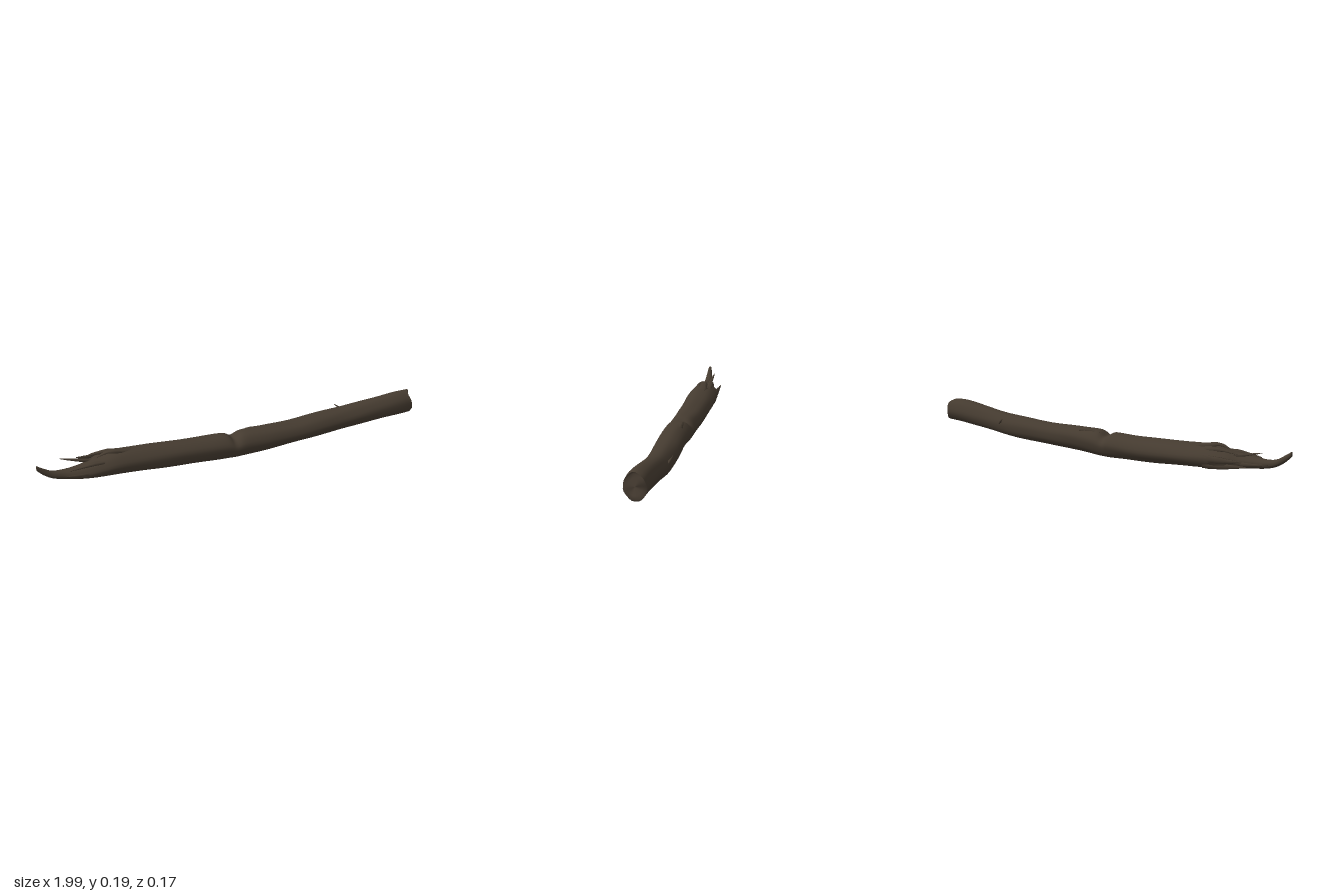
import * as THREE from 'three';

const bark = new THREE.MeshStandardMaterial({ color: 0x453b30 });
bark.name = 'bark';
const wood = new THREE.MeshStandardMaterial({ color: 0x43392f });
wood.name = 'broken wood';

// Skin a list of closed rings; both ends are closed with a fan.
function loft(rings, capFirst = true, capLast = true) {
  const n = rings[0].length, pos = [], idx = [];
  rings.forEach(r => r.forEach(p => pos.push(p.x, p.y, p.z)));
  for (let i = 0; i < rings.length - 1; i++) {
    for (let j = 0; j < n; j++) {
      const a = i * n + j, b = i * n + (j + 1) % n;
      idx.push(a, a + n, b, b, a + n, b + n);
    }
  }
  const cap = (ring, flip) => {
    const base = pos.length / 3, c = new THREE.Vector3();
    ring.forEach(p => { pos.push(p.x, p.y, p.z); c.add(p); });
    c.divideScalar(n);
    pos.push(c.x, c.y, c.z);
    for (let j = 0; j < n; j++) {
      const a = base + j, b = base + (j + 1) % n;
      flip ? idx.push(base + n, a, b) : idx.push(base + n, b, a);
    }
  };
  if (capFirst) cap(rings[0], true);
  if (capLast) cap(rings[rings.length - 1], false);
  const g = new THREE.BufferGeometry();
  g.setAttribute('position', new THREE.Float32BufferAttribute(pos, 3));
  g.setIndex(idx);
  g.computeVertexNormals();
  return g;
}

// Log stations: x, bottom, top, back, front
const stations = [
  [-1.0, 0.165, 0.19, 0.0, 0.018], [-0.97, 0.134, 0.168, -0.006, 0.022],
  [-0.93, 0.108, 0.143, -0.015, 0.026], [-0.88, 0.093, 0.135, -0.022, 0.03],
  [-0.82, 0.083, 0.138, -0.032, 0.05], [-0.76, 0.075, 0.143, -0.05, 0.06],
  [-0.7, 0.066, 0.153, -0.078, 0.062], [-0.62, 0.057, 0.163, -0.086, 0.064],
  [-0.5, 0.045, 0.157, -0.085, 0.066], [-0.35, 0.03, 0.146, -0.078, 0.067],
  [-0.2, 0.018, 0.138, -0.07, 0.068], [-0.07, 0.009, 0.134, -0.06, 0.073],
  [-0.025, 0.007, 0.122, -0.055, 0.075], [0.03, 0.007, 0.136, -0.053, 0.077],
  [0.15, 0.013, 0.133, -0.051, 0.08], [0.3, 0.017, 0.127, -0.055, 0.075],
  [0.45, 0.019, 0.132, -0.059, 0.067], [0.6, 0.025, 0.137, -0.055, 0.062],
  [0.75, 0.036, 0.15, -0.044, 0.068], [0.88, 0.042, 0.164, -0.038, 0.074],
  [0.97, 0.046, 0.163, -0.036, 0.072],
];
const curve = (a, b) => new THREE.CatmullRomCurve3(
  stations.map(s => new THREE.Vector3(s[0], s[a], s[b])), false, 'catmullrom');
const heightCurve = curve(1, 2), depthCurve = curve(3, 4);

const SIDES = 28;
function logRing(t) {
  const h = heightCurve.getPoint(t), d = depthCurve.getPoint(t), x = h.x;
  const end = THREE.MathUtils.smoothstep(x, 0.9, 0.97);
  const ring = [];
  for (let j = 0; j < SIDES; j++) {
    const a = j / SIDES * Math.PI * 2, s = Math.sin(a), c = Math.cos(a);
    // long grain ridges, plus a dent across the top near the middle
    let k = 1 + 0.022 * Math.sin(3 * a + 4 * x) + 0.016 * Math.sin(7 * a + 2 * Math.sin(5 * x))
      + 0.012 * Math.sin(23 * x + 2 * a);
    k -= 0.2 * Math.exp(-(((x + 0.025) / 0.022) ** 2)) * Math.max(0, s) ** 3;
    // uneven cut: low and back parts stick out further
    const cut = end * (-0.016 * c - 0.008 * s + 0.007 * Math.sin(3 * a + 1));
    ring.push(new THREE.Vector3(x + cut,
      (h.y + h.z) / 2 + (h.z - h.y) / 2 * s * k,
      (d.y + d.z) / 2 + (d.z - d.y) / 2 * c * k));
  }
  return ring;
}

// Tapered flat sliver following a few points
function splinter(points, width, thick) {
  const path = new THREE.CatmullRomCurve3(points.map(p => new THREE.Vector3(...p)));
  const up = new THREE.Vector3(0, 1, 0), rings = [];
  for (let i = 0; i <= 8; i++) {
    const t = i / 8, p = path.getPoint(t), dir = path.getTangent(t);
    const side = new THREE.Vector3().crossVectors(dir, up).normalize();
    const across = new THREE.Vector3().crossVectors(side, dir);
    const taper = (1 - 0.88 * t ** 1.4) * (1 + 0.1 * Math.sin(i * 2.3));
    rings.push(Array.from({ length: 6 }, (_, j) => {
      const a = j / 6 * Math.PI * 2;
      return p.clone().addScaledVector(side, Math.cos(a) * width * taper)
        .addScaledVector(across, Math.sin(a) * thick * taper);
    }));
  }
  return loft(rings);
}

export function createModel() {
  const group = new THREE.Group();
  group.name = 'brokenBranch';
  const add = (name, geometry, material, parent = group) => {
    const m = new THREE.Mesh(geometry, material);
    m.name = name;
    parent.add(m);
  };

  // Main log, running out to one long splinter on the left
  const rings = Array.from({ length: 121 }, (_, i) => logRing(i / 120));
  add('log', loft(rings, true, false), bark);

  // Rough end face: shrinking rings, bulged low and hollow in the middle
  const rim = rings[rings.length - 1], centre = new THREE.Vector3();
  rim.forEach(p => centre.add(p));
  centre.divideScalar(SIDES);
  const face = [1, 0.85, 0.6, 0.3, 0.08].map((f, i) => rim.map((p, j) => {
    const q = centre.clone().lerp(p, f);
    const a = j / SIDES * Math.PI * 2;
    if (i) q.x += 0.006 * f * Math.sin(2 * a + 3) + 0.008 * f * (1 - Math.sin(a)) - 0.004;
    return q;
  }));
  add('endFace', loft(face, false, true), wood);

  // Splinters around the break
  const broken = new THREE.Group();
  broken.name = 'splinters';
  group.add(broken);
  [
    [[[-0.68, 0.13, -0.02], [-0.77, 0.145, -0.025], [-0.83, 0.16, -0.03], [-0.88, 0.175, -0.034]], 0.014, 0.009],
    [[[-0.54, 0.148, -0.015], [-0.62, 0.167, -0.01], [-0.66, 0.172, -0.008], [-0.71, 0.158, -0.006]], 0.028, 0.012],
    [[[-0.56, 0.135, -0.04], [-0.64, 0.155, -0.04], [-0.71, 0.157, -0.042], [-0.76, 0.15, -0.045]], 0.022, 0.012],
    [[[-0.6, 0.11, -0.074], [-0.68, 0.118, -0.08], [-0.74, 0.122, -0.081], [-0.79, 0.13, -0.085]], 0.01, 0.022],
    [[[-0.6, 0.085, -0.068], [-0.68, 0.088, -0.07], [-0.75, 0.094, -0.062], [-0.81, 0.1, -0.055]], 0.012, 0.02],
    [[[-0.6, 0.13, 0.025], [-0.72, 0.143, 0.024], [-0.79, 0.14, 0.026], [-0.85, 0.134, 0.025]], 0.02, 0.011],
    [[[-0.66, 0.105, 0.045], [-0.75, 0.11, 0.05], [-0.81, 0.114, 0.05], [-0.87, 0.117, 0.04]], 0.012, 0.016],
    [[[-0.7, 0.1, -0.035], [-0.78, 0.105, -0.036], [-0.84, 0.11, -0.032], [-0.9, 0.118, -0.024]], 0.012, 0.014],
  ].forEach(([pts, w, t], i) => add('splinter' + (i + 1), splinter(pts, w, t), bark, broken));

  // Small twig stub on the back, and a raised bark lip beside the dent
  add('twigStub', splinter([[0.61, 0.09, -0.046], [0.595, 0.108, -0.056], [0.575, 0.124, -0.066]], 0.008, 0.007), bark);
  add('barkLip', splinter([[0.12, 0.122, 0.0], [0.06, 0.129, -0.004], [0.01, 0.127, -0.01]], 0.026, 0.009), bark);
  return group;
}
